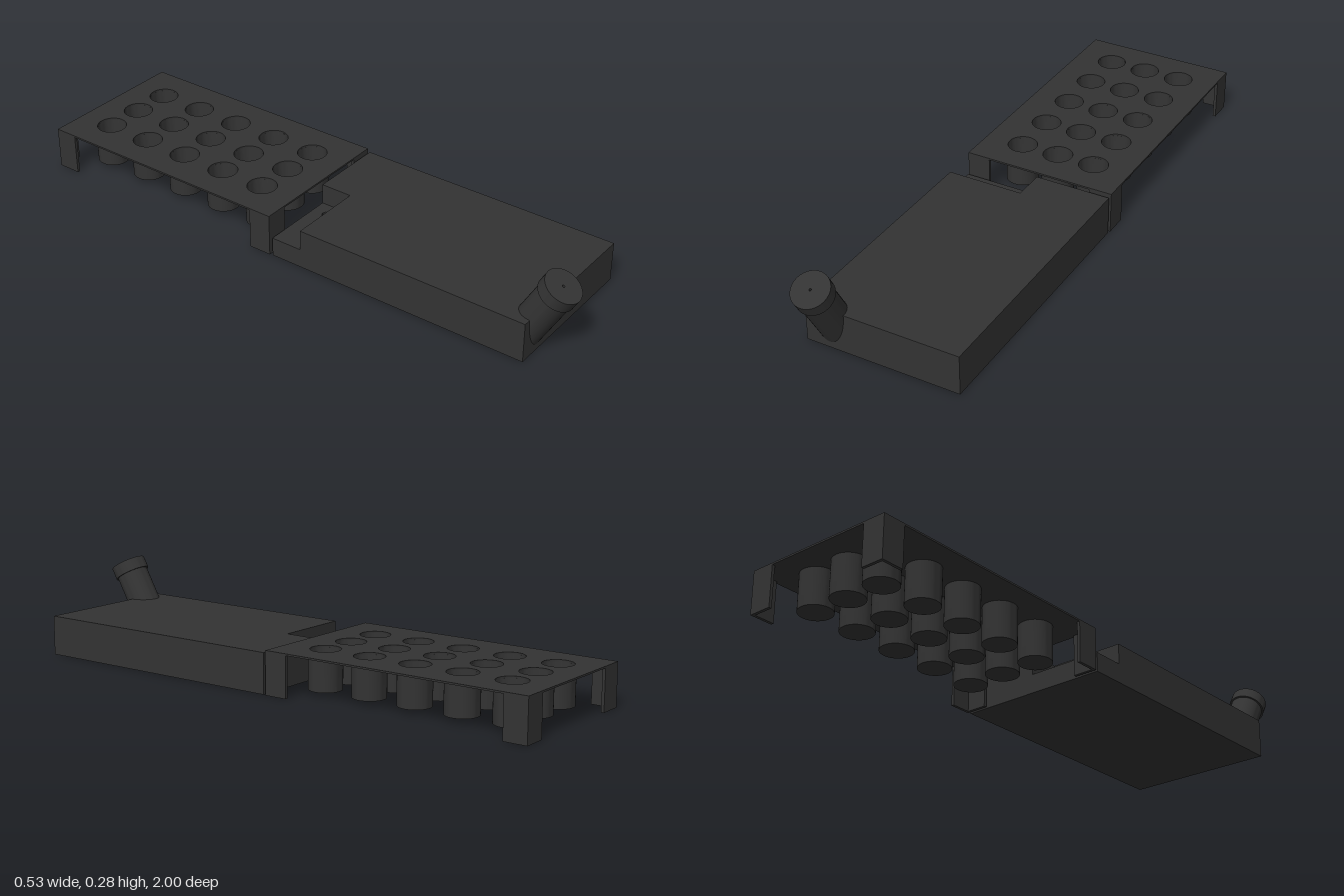
import * as THREE from 'three';
import { toCreasedNormals } from 'three/addons/utils/BufferGeometryUtils.js';

const charcoal = new THREE.MeshStandardMaterial({ color: 0x333333 });
charcoal.name = 'charcoal plastic';

function part(name, geometry, parent) {
  const mesh = new THREE.Mesh(geometry, charcoal);
  mesh.name = name;
  parent.add(mesh);
  return mesh;
}

// Horizontal slab from [x, z] corners, with round holes [x, z, radius].
function slab(corners, y0, y1, holes = []) {
  const shape = new THREE.Shape(corners.map(([x, z]) => new THREE.Vector2(x, -z)));
  for (const [x, z, r] of holes) {
    shape.holes.push(new THREE.Path().absarc(x, -z, r, 0, Math.PI * 2, true));
  }
  const g = new THREE.ExtrudeGeometry(shape, { depth: y1 - y0, bevelEnabled: false, curveSegments: 32 });
  g.rotateX(-Math.PI / 2);
  g.translate(0, y0, 0);
  return toCreasedNormals(g, 0.6);
}

// Turned solid with crisp rims; profile is [radius, y] from the bottom up the outside.
function turned(profile, segments = 40) {
  const g = new THREE.LatheGeometry(profile.map(([r, y]) => new THREE.Vector2(r, y)), segments);
  return toCreasedNormals(g, 0.6);
}

const rect = (x0, x1, z0, z1) => [[x0, z1], [x1, z1], [x1, z0], [x0, z0]];

function makeTank() {
  const tank = new THREE.Group();
  tank.name = 'tank';
  const x = 0.264, back = -0.055, front = 0.876, ledge = 0.065;

  // Body in layers: closed base, ledge level with drain hole, notched top
  part('tankBase', slab(rect(-x, x, back, front), 0, 0.01), tank);
  part('tankLower', slab(rect(-x, x, back, front), 0.01, ledge, [[-0.05, 0, 0.016]]), tank);
  part('tankUpper', slab(
    [[-x, front], [x, front], [x, back], [0, back], [0, 0.057], [-x, 0.057]], ledge, 0.135), tank);

  // Filler neck leaning forward 30 degrees; its origin is the top of the cap
  const filler = new THREE.Group();
  filler.name = 'filler';
  filler.position.set(-0.183, 0.2535, 0.946);
  filler.rotation.x = Math.PI / 6;
  part('fillerNeck', turned([[0, -0.25], [0.056, -0.25], [0.056, -0.02], [0, -0.02]], 48), filler);
  part('fillerCap', turned([
    [0, -0.042], [0.062, -0.042], [0.062, 0], [0.004, 0], [0.004, -0.015], [0, -0.015]], 48), filler);
  tank.add(filler);
  return tank;
}

function makeTray() {
  const tray = new THREE.Group();
  tray.name = 'cupTray';
  const x = 0.267, back = -1, front = -0.065, top = 0.144, under = 0.138;

  // Cups hang beneath round openings in the top plate
  const openings = [];
  const cup = turned([
    [0, 0.015], [0.055, 0.015], [0.055, under], [0.05, under], [0.042, 0.025], [0, 0.025]]);
  for (let row = 0; row < 5; row++) {
    for (let col = -1; col <= 1; col++) {
      const cx = col * 0.134, cz = -0.2 - row * 0.1675;
      openings.push([cx, cz, 0.05]);
      part('cup', cup, tray).position.set(cx, 0, cz);
    }
  }
  part('trayPlate', slab(rect(-x, x, back, front), under, top, openings), tray);

  // Angle-section corner legs
  const w = 0.08, t = 0.01;
  for (const sx of [-1, 1]) {
    for (const sz of [-1, 1]) {
      const cx = sx * x, cz = sz > 0 ? front : back;
      const at = (a, b) => [cx - sx * a, cz - sz * b];
      part('trayLeg', slab(
        [at(0, 0), at(w, 0), at(w, t), at(t, t), at(t, w), at(0, w)], 0, under), tray);
    }
  }
  return tray;
}

export function createModel() {
  const model = new THREE.Group();
  model.name = 'planterKit';
  model.add(makeTank(), makeTray());
  return model;
}
